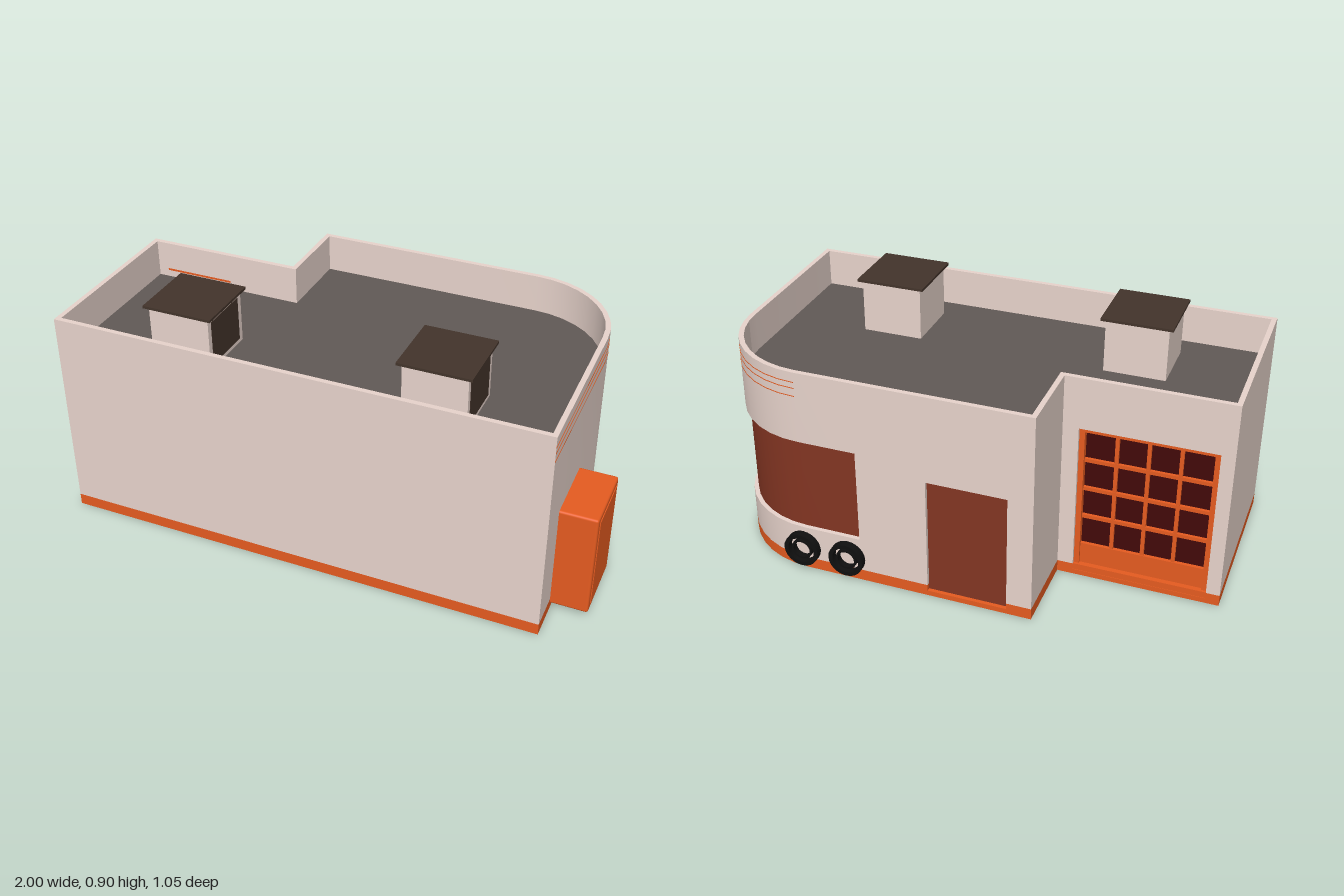
import * as THREE from 'three';
import { toCreasedNormals } from 'three/addons/utils/BufferGeometryUtils.js';
import { RoundedBoxGeometry } from 'three/addons/geometries/RoundedBoxGeometry.js';

const paint = (name, color) => {
  const m = new THREE.MeshStandardMaterial({ color });
  m.name = name;
  return m;
};

export function createModel() {
  const cream = paint('wallCream', 0xe8d4cc);
  const orange = paint('trimOrange', 0xe55b20);
  const red = paint('shutterRed', 0x833522);
  const glass = paint('garageGlass', 0x420909);
  const deck = paint('roofGrey', 0x615956);
  const brown = paint('ventBrown', 0x43342b);
  const black = paint('tyreBlack', 0x101010);

  const model = new THREE.Group();
  model.name = 'garageBuilding';
  const building = new THREE.Group();
  building.name = 'building';
  building.rotation.y = -0.0216; // the plan sits slightly askew
  model.add(building);

  const add = (name, geometry, material, x = 0, y = 0, z = 0, parent = building) => {
    const mesh = new THREE.Mesh(geometry, material);
    mesh.name = name;
    mesh.position.set(x, y, z);
    parent.add(mesh);
    return mesh;
  };

  // Footprint as [x, z] points, moved inwards by d; index 2 to 11 is the round corner
  const ARC = 9, R = 0.36, BACK = -0.501, WING = -0.192, FRONT = 0.509;
  const outline = (d) => {
    const p = [[-0.99 + d, FRONT - d], [0.866 - d, FRONT - d]];
    for (let i = 0; i <= ARC; i++) {
      const a = (i / ARC) * Math.PI / 2;
      p.push([0.86 - R + (R - d) * Math.cos(a), BACK + R - (R - d) * Math.sin(a)]);
    }
    for (const x of [0.28, 0.015, -0.287, -0.381 + d]) p.push([x, BACK + d]);
    for (const x of [-0.381 + d, -0.44, -0.94, -0.99 + d]) p.push([x, WING + d]);
    p.push(p[0]);
    return p;
  };

  // Upright extrusion of a plan polygon
  const slab = (name, pts, y0, y1, material) => {
    const shape = new THREE.Shape(pts.map(([x, z]) => new THREE.Vector2(x, -z)));
    const g = new THREE.ExtrudeGeometry(shape, { depth: y1 - y0, bevelEnabled: false });
    g.rotateX(-Math.PI / 2);
    return add(name, toCreasedNormals(g, 0.5), material, 0, y0, 0);
  };

  // Wall piece between two outline points, from depth d0 to d1
  const strip = (name, a, b, y0, y1, material, d0 = 0, d1 = 0.019) => {
    const outer = outline(d0).slice(a, b + 1);
    const inner = outline(d1).slice(a, b + 1).reverse();
    return slab(name, [...outer, ...inner], y0, y1, material);
  };

  // Floor, plinth, full-height walls and roof deck
  const TOP = 0.83, PLINTH = 0.045, DECK = 0.684;
  slab('floor', outline(0).slice(0, -1), 0, 0.02, orange);
  for (const [a, b] of [[0, 13], [14, 17], [18, 20]]) strip('plinth', a, b, 0.02, PLINTH, orange);
  for (const [a, b] of [[0, 3], [12, 13], [14, 17], [18, 20]]) strip('wall', a, b, PLINTH, TOP, cream);
  slab('roofDeck', outline(0.01).slice(0, -1), DECK - 0.02, DECK, deck);

  // Curved corner window
  strip('windowSill', 3, 12, PLINTH, 0.18, cream);
  strip('windowHeader', 3, 12, 0.55, TOP, cream);
  strip('cornerWindow', 3, 12, 0.17, 0.56, red, 0.017, 0.025);

  // Side door
  strip('doorHeader', 13, 14, 0.49, TOP, cream);
  strip('door', 13, 14, 0.02, 0.5, red, 0.015, 0.023);

  // Hairline stripes below the parapet, and a short one on its inner face
  for (const y of [0.734, 0.766, 0.79]) strip('stripe', 1, 11, y, y + 0.003, orange, -0.001, 0);
  add('innerStripe', new THREE.BoxGeometry(0.28, 0.008, 0.001), orange, -0.79, 0.715, WING + 0.0193);

  // Garage door: glass behind a grid of bars
  const HEAD = 0.63;
  strip('garageHeader', 17, 18, HEAD, TOP, cream);
  strip('garageGlass', 17, 18, 0.02, HEAD + 0.01, glass, 0.036, 0.042);
  const bar = (name, x0, x1, y0, y1, inset) => add(name,
    new THREE.BoxGeometry(x1 - x0, y1 - y0, 0.045 - inset), orange,
    (x0 + x1) / 2, (y0 + y1) / 2, WING + (0.045 + inset) / 2);
  bar('garageFrame', -0.94, -0.92, 0.02, HEAD, 0.012);
  bar('garageFrame', -0.46, -0.44, 0.02, HEAD, 0.012);
  bar('garageFrame', -0.92, -0.46, HEAD - 0.018, HEAD, 0.012);
  bar('garageLowerPanel', -0.92, -0.46, 0.02, 0.13, 0.022);
  bar('garageThreshold', -0.94, -0.44, 0.02, 0.045, 0.002);
  for (let i = 1; i < 4; i++) {
    const x = -0.92 + i * 0.115, y = 0.13 + i * 0.12;
    bar('garageMullion', x - 0.007, x + 0.007, 0.13, HEAD - 0.018, 0.025);
    bar('garageRail', -0.92, -0.46, y - 0.007, y + 0.007, 0.024);
  }

  // Roof vents
  for (const x of [-0.545, 0.416]) {
    const vent = new THREE.Group();
    vent.name = 'roofVent';
    vent.position.set(x, 0, 0.271);
    building.add(vent);
    add('ventBox', new THREE.BoxGeometry(0.235, 0.89 - DECK, 0.24), cream, 0, (0.89 + DECK) / 2, 0, vent);
    add('ventCap', new THREE.BoxGeometry(0.268, 0.01, 0.268), brown, 0, 0.895, 0, vent);
    add('ventOpening', new THREE.BoxGeometry(0.004, 0.17, 0.195), brown, 0.117, 0.785, 0.001, vent);
  }

  // Cabinet on the side wall, with a raised door panel
  add('cabinet', new RoundedBoxGeometry(0.15, 0.41, 0.272, 3, 0.009), orange, 0.926, 0.231, 0.232);
  add('cabinetDoor', new THREE.BoxGeometry(0.008, 0.36, 0.22), orange, 1.0, 0.235, 0.234);

  // Tyres leaning on the back wall, each an outer ring with a thin rim inside
  const ring = (r0, r1, h) => {
    const pts = [[r0, -h], [r1, -h], [r1, h], [r0, h], [r0, -h]];
    const g = new THREE.LatheGeometry(pts.map(([r, y]) => new THREE.Vector2(r, y)), 24);
    g.rotateX(Math.PI / 2);
    return toCreasedNormals(g, 0.6);
  };
  const tread = ring(0.052, 0.068, 0.015);
  const rim = ring(0.033, 0.041, 0.012);
  for (const x of [0.329, 0.51]) {
    add('tyre', tread, black, x, 0.093, BACK - 0.014);
    add('tyreRim', rim, black, x, 0.093, BACK - 0.011);
  }

  return model;
}
